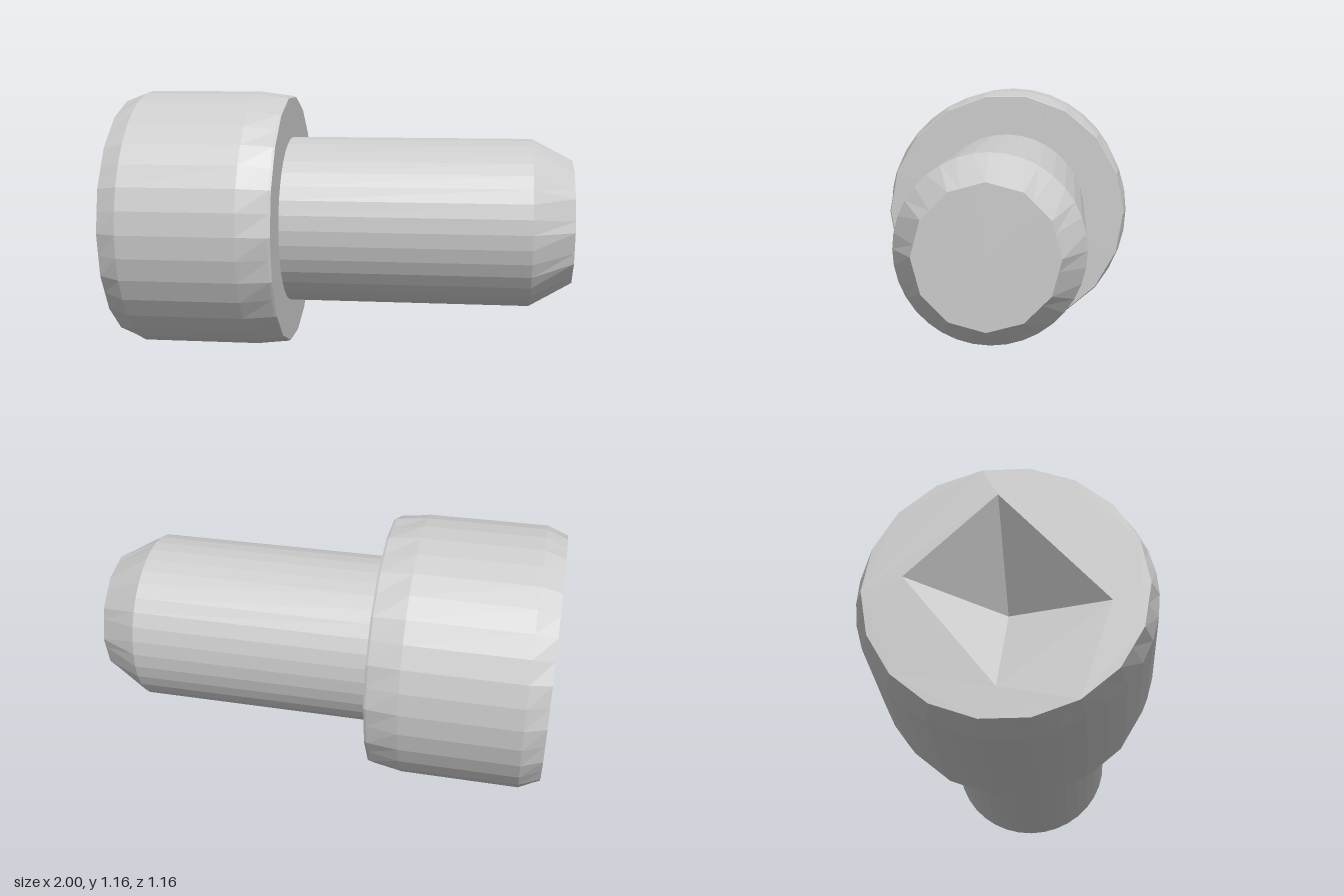
import * as THREE from 'three';

const AXIS_Y = 0.58;
const SIDES = 36;
const material = new THREE.MeshStandardMaterial({ color: 0xcccccc, flatShading: true });

// Turned part along x; each ring is [x, radius, polygon sides], coarser rings are pulled onto their chords
function turned(name, rings) {
  const points = rings.map(([x, r]) => new THREE.Vector2(r, x));
  const geometry = new THREE.LatheGeometry(points, SIDES);
  const pos = geometry.attributes.position;
  for (let i = 0; i < pos.count; i++) {
    const step = (Math.PI * 2) / (rings[i % rings.length][2] ?? SIDES);
    const angle = Math.atan2(pos.getX(i), pos.getZ(i)) + Math.PI * 2;
    const offset = angle - Math.floor(angle / step + 1e-6) * step - step / 2;
    const pull = Math.cos(step / 2) / Math.cos(offset);
    pos.setX(i, pos.getX(i) * pull);
    pos.setZ(i, pos.getZ(i) * pull);
  }
  geometry.rotateZ(-Math.PI / 2);
  geometry.computeVertexNormals();
  return named(name, geometry);
}

function named(name, geometry) {
  const mesh = new THREE.Mesh(geometry, material);
  mesh.name = name;
  return mesh;
}

export function createModel() {
  const group = new THREE.Group();
  group.name = 'capScrew';

  // Cylindrical head with chamfered rims and a flat bearing face
  group.add(turned('head', [
    [-1, 0.545, 18], [-0.91, 0.58], [-0.4, 0.58], [-0.265, 0.565, 18],
    [-0.255, 0.56, 18], [-0.255, 0.36],
  ]));

  // Plain shank with a tapered, coarser tip
  group.add(turned('shank', [
    [-0.26, 0.375], [0.82, 0.375], [1, 0.28, 12], [1, 0],
  ]));

  // Corners of the drive recess as (z, y): top, front, bottom, back
  const corners = [[-0.03, 0.42], [0.4, -0.07], [-0.03, -0.41], [-0.39, 0.06]]
    .map(([z, y]) => new THREE.Vector2(z, y));

  // End face of the head, opened for the recess
  const outline = [];
  for (let i = 0; i < 18; i++) {
    const a = (i / 18) * Math.PI * 2;
    outline.push(new THREE.Vector2(Math.cos(a) * 0.545, Math.sin(a) * 0.545));
  }
  const face = new THREE.Shape(outline);
  face.holes.push(new THREE.Path(corners));
  const faceGeometry = new THREE.ShapeGeometry(face);
  faceGeometry.rotateY(-Math.PI / 2);
  faceGeometry.translate(-1, 0, 0);
  group.add(named('headFace', faceGeometry));

  // Four-sided recess sinking to a point
  const walls = [];
  corners.forEach((c, i) => {
    const next = corners[(i + 1) % 4];
    walls.push(-1, next.y, next.x, -1, c.y, c.x, -0.81, -0.02, 0);
  });
  const recess = new THREE.BufferGeometry();
  recess.setAttribute('position', new THREE.Float32BufferAttribute(walls, 3));
  recess.computeVertexNormals();
  group.add(named('driveRecess', recess));

  group.children.forEach((part) => { part.position.y = AXIS_Y; });
  return group;
}
